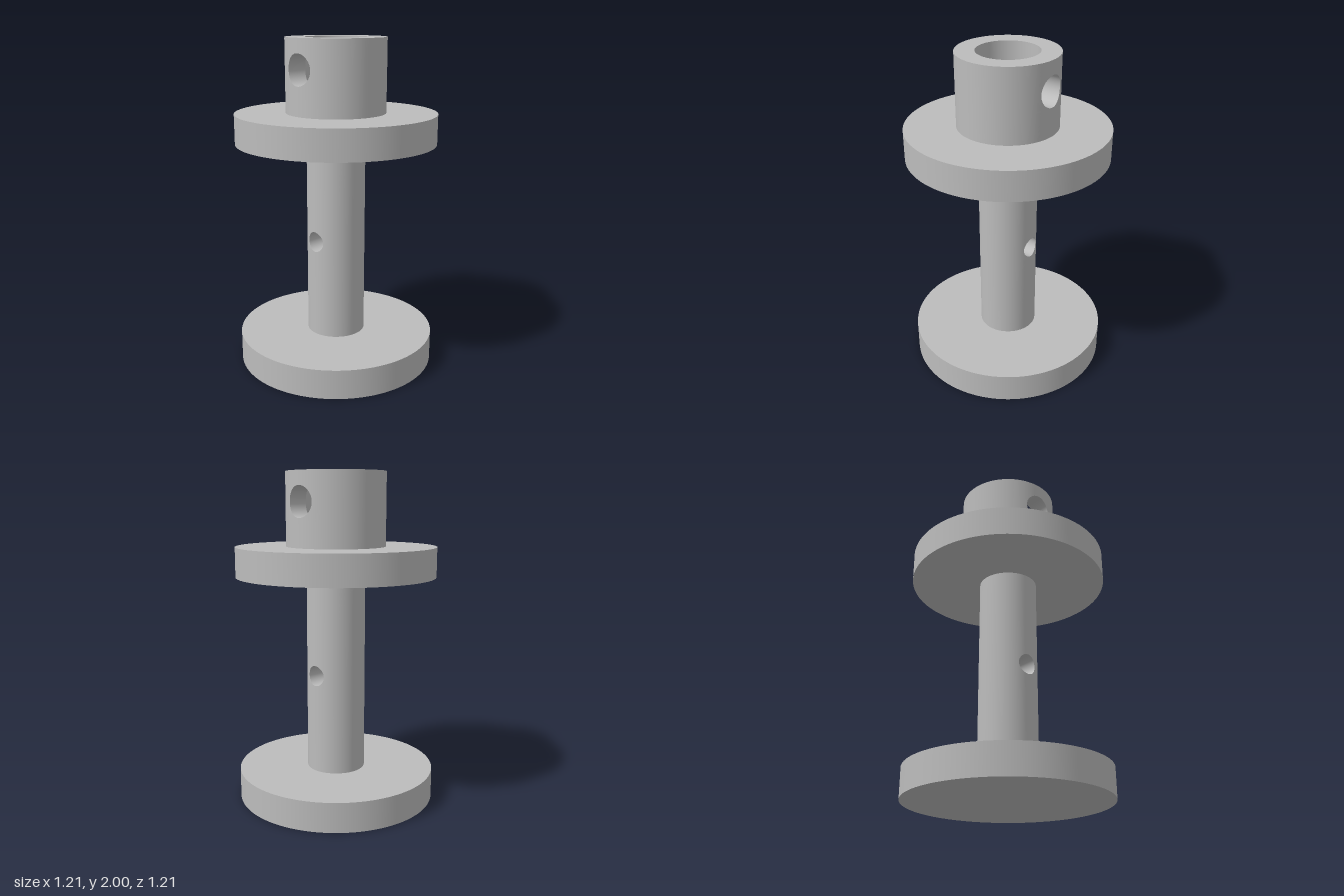
import * as THREE from 'three';

const FLANGE_R = 0.605, SHAFT_R = 0.178, COLLAR_R = 0.3, BORE_R = 0.184;
const SIDE = 32, AROUND = SIDE * 4; // steps per side of a wall panel, and around its hole

// Grid surface; at(i, v) returns { p, n } with v running 0..1
function gridSurface(nu, nv, at, flip) {
  const pos = [], nor = [], idx = [];
  for (let j = 0; j <= nv; j++) {
    for (let i = 0; i <= nu; i++) {
      const { p, n } = at(i, j / nv);
      pos.push(...p);
      nor.push(...n);
      if (i === nu || j === nv) continue;
      const a = j * (nu + 1) + i, b = a + 1, c = a + nu + 1, d = c + 1;
      if (flip) idx.push(a, b, c, b, d, c);
      else idx.push(a, c, b, b, c, d);
    }
  }
  const g = new THREE.BufferGeometry();
  g.setAttribute('position', new THREE.Float32BufferAttribute(pos, 3));
  g.setAttribute('normal', new THREE.Float32BufferAttribute(nor, 3));
  g.setIndex(idx);
  return g;
}

const holeAngle = (i) => -Math.PI / 4 + (i / AROUND) * Math.PI * 2;

// Half of a cylinder wall, spread from a round cross hole to the panel's border
function piercedHalfWall(R, y0, y1, holeY, holeR, inward) {
  const h = Math.PI / 2, s = inward ? -1 : 1;
  const corners = [[h, y0], [h, y1], [-h, y1], [-h, y0]];
  return gridSurface(AROUND, 14, (i, v) => {
    const k = Math.floor(i / SIDE) % 4, f = (i % SIDE) / SIDE;
    const [a, b] = [corners[k], corners[(k + 1) % 4]];
    const t = holeAngle(i), lerp = THREE.MathUtils.lerp;
    const theta = lerp(Math.asin(holeR * Math.cos(t) / R), lerp(a[0], b[0], f), v);
    const y = lerp(holeY + holeR * Math.sin(t), lerp(a[1], b[1], f), v);
    const sx = Math.sin(theta), cz = Math.cos(theta);
    return { p: [R * sx, y, R * cz], n: [s * sx, 0, s * cz] };
  }, inward);
}

// Lining of a cross hole, from the outer radius in to the inner one (0 = axis)
function holeLining(R, Ri, holeY, holeR) {
  return gridSurface(AROUND, 2, (i, v) => {
    const t = holeAngle(i), c = Math.cos(t), s = Math.sin(t), x = holeR * c;
    const zOut = Math.sqrt(R * R - x * x);
    const zIn = Ri ? Math.sqrt(Ri * Ri - x * x) : 0;
    return { p: [x, holeY + holeR * s, zOut + (zIn - zOut) * v], n: [-c, -s, 0] };
  }, true);
}

export function createModel() {
  const model = new THREE.Group();
  model.name = 'flangedSpindle';
  const metal = new THREE.MeshStandardMaterial({ color: 0xbcbcbc });
  metal.name = 'plain grey';

  const add = (parent, name, geometry) => {
    const mesh = new THREE.Mesh(geometry, metal);
    mesh.name = name;
    parent.add(mesh);
    return mesh;
  };
  // Front panel and its copy turned to the back
  const addBoth = (parent, name, geometry) => {
    add(parent, name + 'Front', geometry);
    add(parent, name + 'Back', geometry).rotation.y = Math.PI;
  };

  // Two equal flanges
  for (const [name, y] of [['baseFlange', 0.09], ['upperFlange', 1.47]]) {
    add(model, name, new THREE.CylinderGeometry(FLANGE_R, FLANGE_R, 0.18, AROUND)).position.y = y;
  }

  // Solid shaft with a small through hole
  const shaft = new THREE.Group();
  shaft.name = 'shaft';
  addBoth(shaft, 'shaftWall', piercedHalfWall(SHAFT_R, 0.18, 1.38, 0.785, 0.062, false));
  addBoth(shaft, 'shaftHole', holeLining(SHAFT_R, 0, 0.785, 0.062));
  model.add(shaft);

  // Open collar with a larger through hole
  const collar = new THREE.Group();
  collar.name = 'collar';
  addBoth(collar, 'collarWall', piercedHalfWall(COLLAR_R, 1.56, 2, 1.824, 0.092, false));
  addBoth(collar, 'boreWall', piercedHalfWall(BORE_R, 1.56, 2, 1.824, 0.092, true));
  addBoth(collar, 'collarHole', holeLining(COLLAR_R, BORE_R, 1.824, 0.092));
  const rim = new THREE.RingGeometry(BORE_R, COLLAR_R, AROUND).rotateX(-Math.PI / 2);
  add(collar, 'collarRim', rim).position.y = 2;
  model.add(collar);

  return model;
}
